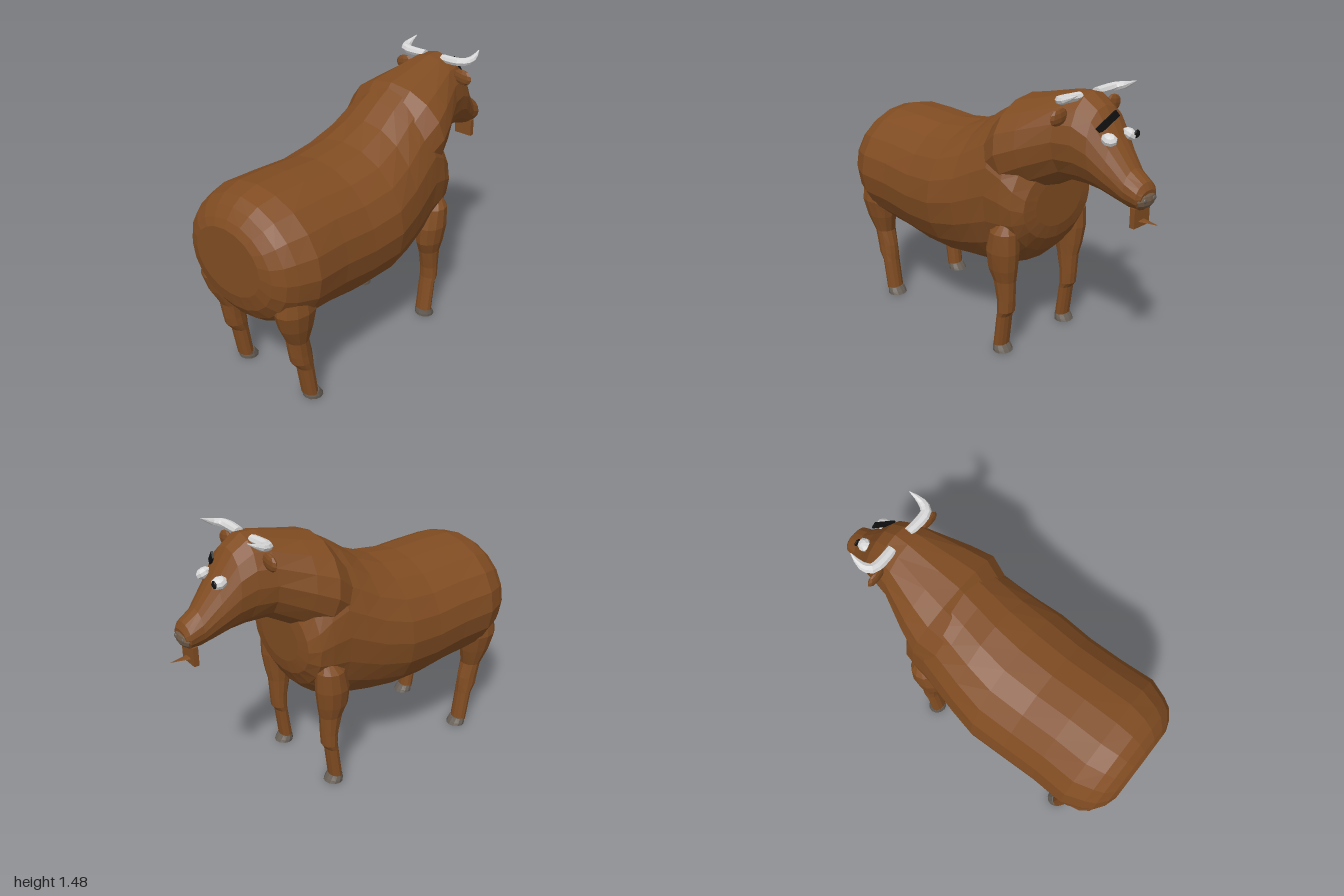
import * as THREE from 'three';

const mat = (name, color) => {
  const m = new THREE.MeshStandardMaterial({ color });
  m.name = name;
  return m;
};
const V = (x, y, z) => new THREE.Vector3(x, y, z);

// Faceted normals for a low-poly look
function facet(geometry) {
  const g = geometry.index ? geometry.toNonIndexed() : geometry;
  g.computeVertexNormals();
  return g;
}

// Skin a list of elliptical rings { c: centre, u, v: half axes }, capped at both ends.
// Rings advance along u x v.
function loft(rings, sides) {
  const pos = [], idx = [];
  for (const { c, u, v } of rings) {
    for (let j = 0; j < sides; j++) {
      const a = (j / sides) * Math.PI * 2;
      pos.push(...c.clone().addScaledVector(u, Math.cos(a)).addScaledVector(v, Math.sin(a)).toArray());
    }
  }
  const n = rings.length;
  for (let i = 0; i < n - 1; i++) {
    for (let j = 0; j < sides; j++) {
      const k = (j + 1) % sides;
      const a = i * sides + j, b = i * sides + k;
      idx.push(a, b, a + sides, b, b + sides, a + sides);
    }
  }
  const first = n * sides, last = first + 1;
  pos.push(...rings[0].c.toArray(), ...rings[n - 1].c.toArray());
  for (let j = 0; j < sides; j++) {
    const k = (j + 1) % sides;
    idx.push(first, k, j, last, (n - 1) * sides + j, (n - 1) * sides + k);
  }
  const g = new THREE.BufferGeometry();
  g.setAttribute('position', new THREE.Float32BufferAttribute(pos, 3));
  g.setIndex(idx);
  return facet(g);
}

// Trunk section from its top point, bottom point and half width
const trunkRing = ([tx, ty, bx, by, w]) => ({
  c: V((tx + bx) / 2, (ty + by) / 2, 0),
  u: V((tx - bx) / 2, (ty - by) / 2, 0),
  v: V(0, 0, w),
});

// Horizontal leg section: height, back x, front x, inner z, outer z
const legRing = (s) => ([y, x0, x1, z0, z1]) => ({
  c: V((x0 + x1) / 2, y, s * (z0 + z1) / 2),
  u: V((x1 - x0) / 2, 0, 0),
  v: V(0, 0, (z1 - z0) / 2),
});

export function createModel() {
  const model = new THREE.Group();
  model.name = 'bull';
  const hide = mat('brown hide', 0x804c22);
  const horn = mat('pale horn', 0xd6d6d6);
  const hoofGrey = mat('hoof grey', 0x665e55);
  const noseGrey = mat('nose taupe', 0x715c49);
  const black = mat('black', 0x111111);

  const add = (name, geometry, material, x = 0, y = 0, z = 0) => {
    const m = new THREE.Mesh(geometry, material);
    m.name = name;
    m.position.set(x, y, z);
    model.add(m);
    return m;
  };
  const blob = (rx, ry, rz, w = 8, h = 6) => facet(new THREE.SphereGeometry(1, w, h).scale(rx, ry, rz));

  // Barrel body from rump to chest
  const body = [
    [-1.0, 1.0, -1.0, 0.65, 0.22],
    [-0.98, 1.04, -0.98, 0.57, 0.28],
    [-0.94, 1.09, -0.94, 0.51, 0.335],
    [-0.89, 1.125, -0.89, 0.47, 0.365],
    [-0.79, 1.15, -0.79, 0.44, 0.405],
    [-0.6, 1.15, -0.6, 0.42, 0.395],
    [-0.4, 1.14, -0.4, 0.392, 0.398],
    [-0.2, 1.165, -0.2, 0.392, 0.407],
    [-0.04, 1.23, -0.04, 0.4, 0.378],
    [0.07, 1.305, 0.07, 0.415, 0.355],
    [0.18, 1.37, 0.15, 0.43, 0.335],
    [0.27, 1.27, 0.25, 0.49, 0.32],
    [0.33, 1.15, 0.32, 0.56, 0.3],
    [0.375, 1.04, 0.365, 0.64, 0.25],
    [0.38, 0.97, 0.38, 0.71, 0.17],
  ];
  add('body', loft(body.map(trunkRing), 20), hide);

  // Neck and head down to the muzzle
  const head = [
    [0.08, 1.28, 0.15, 0.8, 0.3],
    [0.18, 1.38, 0.28, 0.87, 0.325],
    [0.3, 1.405, 0.37, 0.93, 0.285],
    [0.5, 1.452, 0.5, 1.0, 0.205],
    [0.58, 1.455, 0.62, 1.0, 0.18],
    [0.66, 1.4, 0.7, 0.99, 0.16],
    [0.75, 1.265, 0.78, 0.965, 0.122],
    [0.85, 1.135, 0.85, 0.945, 0.09],
    [0.92, 1.085, 0.91, 0.945, 0.08],
    [0.937, 1.05, 0.93, 0.975, 0.06],
  ];
  add('neckAndHead', loft(head.map(trunkRing), 16), hide);

  // Nose pad and nostrils
  add('nosePad', blob(0.03, 0.043, 0.074, 10, 6), noseGrey, 0.918, 1.0, 0);
  for (const s of [1, -1]) add('nostril', blob(0.006, 0.012, 0.014), hoofGrey, 0.942, 1.005, s * 0.035);

  // Hanging lower lip and tongue
  add('lowerLip', facet(new THREE.BoxGeometry(0.028, 0.1, 0.115)), hide, 0.89, 0.91, 0);
  const tongue = new THREE.ConeGeometry(0.03, 0.11, 6).rotateZ(-Math.PI / 2).scale(1, 0.2, 1);
  add('tongue', facet(tongue), hide, 0.945, 0.89, 0);

  const frontLeg = [
    [0.76, 0.22, 0.3, 0.21, 0.3],
    [0.71, 0.165, 0.325, 0.18, 0.335],
    [0.6, 0.135, 0.328, 0.18, 0.34],
    [0.5, 0.14, 0.315, 0.185, 0.325],
    [0.43, 0.17, 0.3, 0.19, 0.305],
    [0.32, 0.195, 0.293, 0.193, 0.298],
    [0.25, 0.2, 0.287, 0.193, 0.298],
    [0.22, 0.197, 0.265, 0.195, 0.296],
    [0.03, 0.17, 0.24, 0.195, 0.296],
  ];
  const hindLeg = [
    [0.72, -0.93, -0.73, 0.18, 0.34],
    [0.6, -0.95, -0.71, 0.17, 0.355],
    [0.5, -0.92, -0.73, 0.18, 0.335],
    [0.4, -0.87, -0.757, 0.185, 0.305],
    [0.31, -0.86, -0.735, 0.19, 0.3],
    [0.26, -0.85, -0.73, 0.19, 0.3],
    [0.21, -0.812, -0.728, 0.195, 0.297],
    [0.03, -0.783, -0.705, 0.195, 0.296],
  ];
  const hoof = (x) => [
    [0.04, x, x + 0.07, 0.195, 0.297],
    [0.015, x - 0.005, x + 0.09, 0.19, 0.302],
    [0, x - 0.005, x + 0.1, 0.19, 0.302],
  ];

  for (const s of [1, -1]) {
    const side = s > 0 ? 'left' : 'right';

    // Legs and hooves
    add(side + 'FrontLeg', loft(frontLeg.map(legRing(s)), 12), hide);
    add(side + 'HindLeg', loft(hindLeg.map(legRing(s)), 12), hide);
    add(side + 'FrontHoof', loft(hoof(0.17).map(legRing(s)), 12), hoofGrey);
    add(side + 'HindHoof', loft(hoof(-0.77).map(legRing(s)), 12), hoofGrey);

    // Horn: out sideways, then curling forward and up to a point
    const path = new THREE.CatmullRomCurve3([
      V(0.55, 1.435, s * 0.06), V(0.545, 1.435, s * 0.14), V(0.555, 1.44, s * 0.2),
      V(0.6, 1.45, s * 0.222), V(0.67, 1.483, s * 0.215),
    ]);
    const radii = [0.026, 0.028, 0.029, 0.029, 0.028, 0.026, 0.022, 0.013, 0.002];
    const rings = radii.map((r, i) => {
      const t = i / (radii.length - 1), d = path.getTangent(t);
      const u = V(0, 1, 0).cross(d).normalize();
      const v = d.clone().cross(u);
      return { c: path.getPoint(t), u: u.multiplyScalar(r), v: v.multiplyScalar(r * 0.8) };
    });
    add(side + 'Horn', loft(rings, 8), horn);

    // Ear
    const ear = add(side + 'Ear', blob(0.018, 0.043, 0.06, 8, 6), hide, 0.545, 1.357, s * 0.2);
    ear.rotation.x = s * 0.15;

    // Eye
    const eye = add(side + 'Eye', blob(0.042, 0.028, 0.036, 8, 5), horn, 0.748, 1.265, s * 0.075);
    eye.rotation.set(s * 0.4, 0, -0.3);
  }

  // Pupil on the right eye, single slanting brow over the left eye
  add('pupil', blob(0.008, 0.02, 0.022), black, 0.783, 1.268, -0.088);
  const brow = add('brow', facet(new THREE.BoxGeometry(0.009, 0.036, 0.13)), black, 0.715, 1.338, 0.05);
  brow.lookAt(0.75, 1.418, -0.05);

  return model;
}
